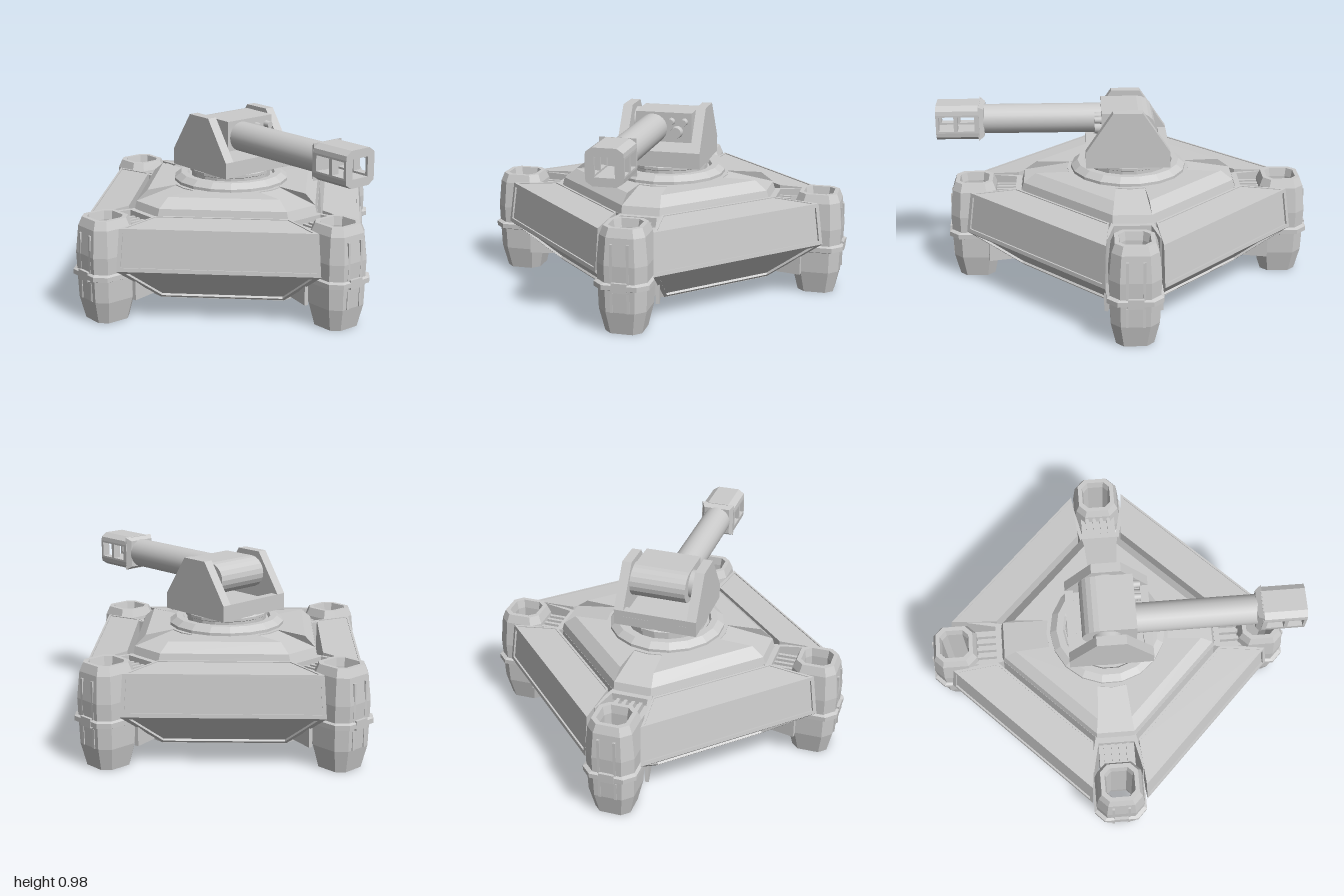
import * as THREE from 'three';

const grey = new THREE.MeshStandardMaterial({ color: 0xcccccc, flatShading: true, side: THREE.DoubleSide });
const smooth = new THREE.MeshStandardMaterial({ color: 0xcccccc });
const V = (x, y, z) => new THREE.Vector3(x, y, z);

function add(parent, name, geo, x = 0, y = 0, z = 0, mat = grey) {
  const m = new THREE.Mesh(geo, mat);
  m.name = name;
  m.position.set(x, y, z);
  parent.add(m);
  return m;
}
const box = (w, h, d) => new THREE.BoxGeometry(w, h, d);

// Collects flat faces; each is turned to look away from a reference point
class Faces {
  constructor() { this.p = []; }
  tri(a, b, c, ref) {
    const n = b.clone().sub(a).cross(c.clone().sub(a));
    const out = a.clone().add(b).add(c).divideScalar(3).sub(ref);
    for (const v of n.dot(out) < 0 ? [a, c, b] : [a, b, c]) this.p.push(v.x, v.y, v.z);
  }
  quad(a, b, c, d, ref) { this.tri(a, b, c, ref); this.tri(a, c, d, ref); }
  // Quad with a raised border of width m around a recessed field
  framed(a, b, c, d, ref, m, depth) {
    const q = [a, b, c, d];
    const u = m * 2 / (a.distanceTo(b) + c.distanceTo(d));
    const v = m * 2 / (a.distanceTo(d) + b.distanceTo(c));
    const at = (s, t) => a.clone().lerp(b, s).lerp(d.clone().lerp(c, s), t);
    const inner = [at(u, v), at(1 - u, v), at(1 - u, 1 - v), at(u, 1 - v)];
    const n = c.clone().sub(a).cross(d.clone().sub(b)).normalize();
    if (n.dot(at(0.5, 0.5).sub(ref)) < 0) n.negate();
    const low = inner.map(p => p.clone().addScaledVector(n, -depth));
    const mid = at(0.5, 0.5).addScaledVector(n, depth);
    for (let i = 0; i < 4; i++) {
      const j = (i + 1) % 4;
      this.quad(q[i], q[j], inner[j], inner[i], ref);
      const e = inner[i].clone().lerp(inner[j], 0.5);
      this.quad(inner[i], inner[j], low[j], low[i], e.multiplyScalar(2).sub(mid));
    }
    this.quad(...low, ref);
  }
  geo() {
    const g = new THREE.BufferGeometry();
    g.setAttribute('position', new THREE.Float32BufferAttribute(this.p, 3));
    g.computeVertexNormals();
    return g;
  }
}

// Eight corners of a square with cut corners
const octagon = (r, w, y) => [[w, r], [r, w], [r, -w], [w, -r], [-w, -r], [-r, -w], [-r, w], [-w, r]]
  .map(([x, z]) => V(x, y, z));

// Skin through octagon loops given as [r, w, y]
function loft(levels) {
  const f = new Faces(), loops = levels.map(l => octagon(...l));
  for (let k = 0; k + 1 < loops.length; k++) for (let i = 0; i < 8; i++) {
    const j = (i + 1) % 8, a = loops[k][i], b = loops[k][j], c = loops[k + 1][j], d = loops[k + 1][i];
    // corner order follows the loops, so the profile runs up the outside and down the inside
    for (const v of [a, c, b, a, d, c]) f.p.push(v.x, v.y, v.z);
  }
  // the loops run clockwise seen from below, flip to face outward
  for (let i = 0; i < f.p.length; i += 9) {
    for (let k = 0; k < 3; k++) [f.p[i + 3 + k], f.p[i + 6 + k]] = [f.p[i + 6 + k], f.p[i + 3 + k]];
  }
  return f.geo();
}

const shapeOf = pts => new THREE.Shape(pts.map(p => new THREE.Vector2(...p)));
// Side profile (z, y) extruded to width w, centred on x
function extrudeX(pts, w, holes = []) {
  const s = shapeOf(pts);
  s.holes = holes.map(h => new THREE.Path(h.map(p => new THREE.Vector2(...p))));
  return new THREE.ExtrudeGeometry(s, { depth: w, bevelEnabled: false }).rotateY(-Math.PI / 2).translate(w / 2, 0, 0);
}
const rect = (x0, x1, y0, y1) => [[x0, y0], [x1, y0], [x1, y1], [x0, y1]];

// Sloped side armour; local z points outward
function armourPanel() {
  const f = new Faces(), ref = V(0, 0.32, 0.6);
  const rows = [[0.51, 0.34, 0.525], [0.70, 0.50, 0.51], [0.725, 0.515, 0.29], [0.5, 0.32, 0.08]];
  const L = rows.map(([d, s, y]) => V(-s, y, d)), R = rows.map(([d, s, y]) => V(s, y, d));
  f.framed(L[0], R[0], R[1], L[1], ref, 0.015, 0.004);
  f.framed(L[1], R[1], R[2], L[2], ref, 0.02, 0.01);
  f.framed(L[2], R[2], R[3], L[3], ref, 0.025, 0.012);
  f.quad(L[3], R[3], R[0], L[0], ref);
  f.quad(...L, ref);
  f.quad(...R, ref);
  return f.geo();
}

// One quarter of the raised deck and the ramp channel beside it
function deckQuarter() {
  const f = new Faces(), ref = V(0.27, 0.5, 0.27);
  const pts = [[0.1, 0.58, 0.5], [0.1, 0.565, 0.55], [0.09, 0.5, 0.6], [0.075, 0.3, 0.6]];
  const A = pts.map(([w, r, y]) => V(w, y, r)), B = pts.map(([w, r, y]) => V(r, y, w));
  for (let i = 0; i < 3; i++) f.quad(A[i], B[i], B[i + 1], A[i + 1], ref);
  f.tri(A[1], A[2], A[3], ref);
  f.tri(B[1], B[2], B[3], ref);
  const M = A.map(v => V(-v.x, v.y, v.z)), under = V(0, 0, 0);
  f.quad(A[1], M[1], M[3], A[3], under);
  f.quad(A[0], M[0], M[1], A[1], under);
  return f.geo();
}

// Hollow corner pod with its bracket; local z points outward
function pod() {
  const g = new THREE.Group();
  const c = 0.835;
  const prof = [[0, 0.095], [0.12, 0.122], [0.36, 0.13], [0.5, 0.117], [0.545, 0.1], [0.545, 0.078],
    [0.5, 0.07], [0.07, 0.07], [0, 0.078], [0, 0.095]];
  add(g, 'podShell', loft(prof.map(([y, r]) => [r, r * 0.6, y])), 0, 0, c);
  add(g, 'podBand', loft([[0.12, 0.075, 0.23], [0.142, 0.09, 0.24], [0.142, 0.09, 0.265], [0.12, 0.075, 0.275]]), 0, 0, c);
  add(g, 'bandClip', box(0.08, 0.05, 0.02), 0, 0.253, c + 0.133);
  for (const s of [-1, 1]) {
    add(g, 'podRib', box(0.014, 0.2, 0.012), s * 0.042, 0.37, c + 0.124);
    add(g, 'podRib', box(0.014, 0.1, 0.012), s * 0.042, 0.17, c + 0.122);
    // bracket cheek running from hull corner to pod
    const cheek = add(g, 'bracketCheek', box(0.02, 0.4, 0.2), s * 0.118, 0.31, 0.665);
    cheek.rotation.y = s * 0.22;
  }
  add(g, 'bracketCore', box(0.19, 0.34, 0.2), 0, 0.28, 0.64);
  for (let i = 0; i < 4; i++) add(g, 'bracketBar', box(0.018, 0.04, 0.16), -0.06 + i * 0.04, 0.465, 0.645);
  add(g, 'bracketSill', box(0.2, 0.04, 0.03), 0, 0.49, 0.595);
  return g;
}

// Concave underside with ribs radiating from a central plate
function underside() {
  const f = new Faces(), ref = V(0, 1, 0);
  const rim = octagon(0.58, 0.13, 0.08), hub = octagon(0.175, 0.073, 0.2), mid = V(0, 0.2, 0);
  for (let i = 0; i < 8; i++) {
    const j = (i + 1) % 8;
    f.framed(rim[i], rim[j], hub[j], hub[i], ref, 0.014, 0.012);
    f.tri(hub[i], hub[j], mid, ref);
  }
  return f.geo();
}

function turret() {
  const g = new THREE.Group();
  g.name = 'turret';
  const ring = [[0.31, 0.595], [0.31, 0.615], [0.275, 0.642], [0.24, 0.642], [0.23, 0.625], [0.215, 0.625],
    [0.215, 0.65], [0.225, 0.655], [0.225, 0.67], [0.2, 0.69]];
  add(g, 'turretRing', new THREE.LatheGeometry(ring.map(p => new THREE.Vector2(...p)), 18));
  // yoke: open tray between two cheeks
  add(g, 'yokeFloor', box(0.44, 0.05, 0.44), 0, 0.7, 0.005);
  add(g, 'yokeRearWall', box(0.36, 0.08, 0.045), 0, 0.72, -0.192);
  add(g, 'yokeFrontWall', box(0.36, 0.08, 0.045), 0, 0.72, 0.207);
  const cheek = [[0.23, 0.675], [0.23, 0.76], [0.085, 0.975], [-0.07, 0.975], [-0.215, 0.76], [-0.215, 0.675]];
  for (const s of [-1, 1]) add(g, 'yokeCheek', extrudeX(cheek, 0.052), s * 0.201);

  // gun cradle with rounded back, on a cross pin
  const cradle = [[0.145, 0.795], [0.145, 0.955]];
  for (let i = 0; i <= 10; i++) {
    const a = Math.PI * (0.5 + i / 10);
    cradle.push([-0.05 + 0.09 * Math.cos(a), 0.872 + 0.085 * Math.sin(a)]);
  }
  add(g, 'gunCradle', extrudeX(cradle, 0.305), 0.012);
  add(g, 'trunnion', new THREE.CylinderGeometry(0.075, 0.075, 0.36, 24).rotateZ(Math.PI / 2), 0, 0.872, -0.01, smooth);
  for (const [x, y, r] of [[0.085, 0.852, 0.034], [0.055, 0.908, 0.02], [0.125, 0.908, 0.02]]) {
    add(g, 'sensor', new THREE.CylinderGeometry(r * 0.85, r, 0.04, 16).rotateX(Math.PI / 2), x, y, 0.16, smooth);
  }

  // barrel and windowed muzzle brake
  const gun = new THREE.Group();
  gun.name = 'gun';
  gun.position.set(-0.048, 0.866, 0.025);
  g.add(gun);
  add(gun, 'barrel', new THREE.CylinderGeometry(0.079, 0.079, 0.65, 24).rotateX(Math.PI / 2), 0, 0, 0.425, smooth);
  add(gun, 'muzzleCollar', new THREE.CylinderGeometry(0.134, 0.106, 0.03, 4).rotateY(Math.PI / 4).rotateX(Math.PI / 2), 0, 0, 0.76);
  const slab = [[-0.096, 0.05], [0.096, 0.05], [0.093, 0.072], [0.06, 0.094], [-0.06, 0.094], [-0.093, 0.072]];
  const windows = [rect(0.795, 0.885, -0.04, 0.04), rect(0.905, 0.985, -0.04, 0.04)];
  for (const s of [-1, 1]) {
    const m = add(gun, 'muzzleSlab', new THREE.ExtrudeGeometry(shapeOf(slab), { depth: 0.23, bevelEnabled: false }));
    m.position.z = s > 0 ? 0.77 : 1.0;
    if (s < 0) m.rotation.x = Math.PI;
    add(gun, 'muzzleSide', extrudeX(rect(0.77, 1.0, -0.05, 0.05), 0.045, windows), s * 0.0735);
  }
  gun.children.forEach(m => { m.position.z -= 0.0; });
  gun.position.z = 0.025; // keeps the muzzle tip at the front limit
  return g;
}

export function createModel() {
  const model = new THREE.Group();
  const body = new THREE.Group();
  body.name = 'body';
  body.position.z = -0.025;
  model.add(body);

  add(body, 'hullCore', loft([[0.58, 0.13, 0.08], [0.585, 0.11, 0.3], [0.58, 0.1, 0.505], [0.3, 0.08, 0.505]]));
  add(body, 'underside', underside());
  add(body, 'deckCentre', new THREE.CylinderGeometry(0.33, 0.33, 0.02, 24), 0, 0.5895, 0);
  const panelGeo = armourPanel(), deckGeo = deckQuarter();
  for (let i = 0; i < 4; i++) {
    const turn = i * Math.PI / 2;
    add(body, 'armourPanel', panelGeo).rotation.y = turn + Math.PI / 4;
    add(body, 'deckQuarter', deckGeo).rotation.y = turn;
    const p = pod();
    p.name = 'cornerPod';
    p.rotation.y = turn;
    body.add(p);
  }
  body.add(turret());
  return model;
}
